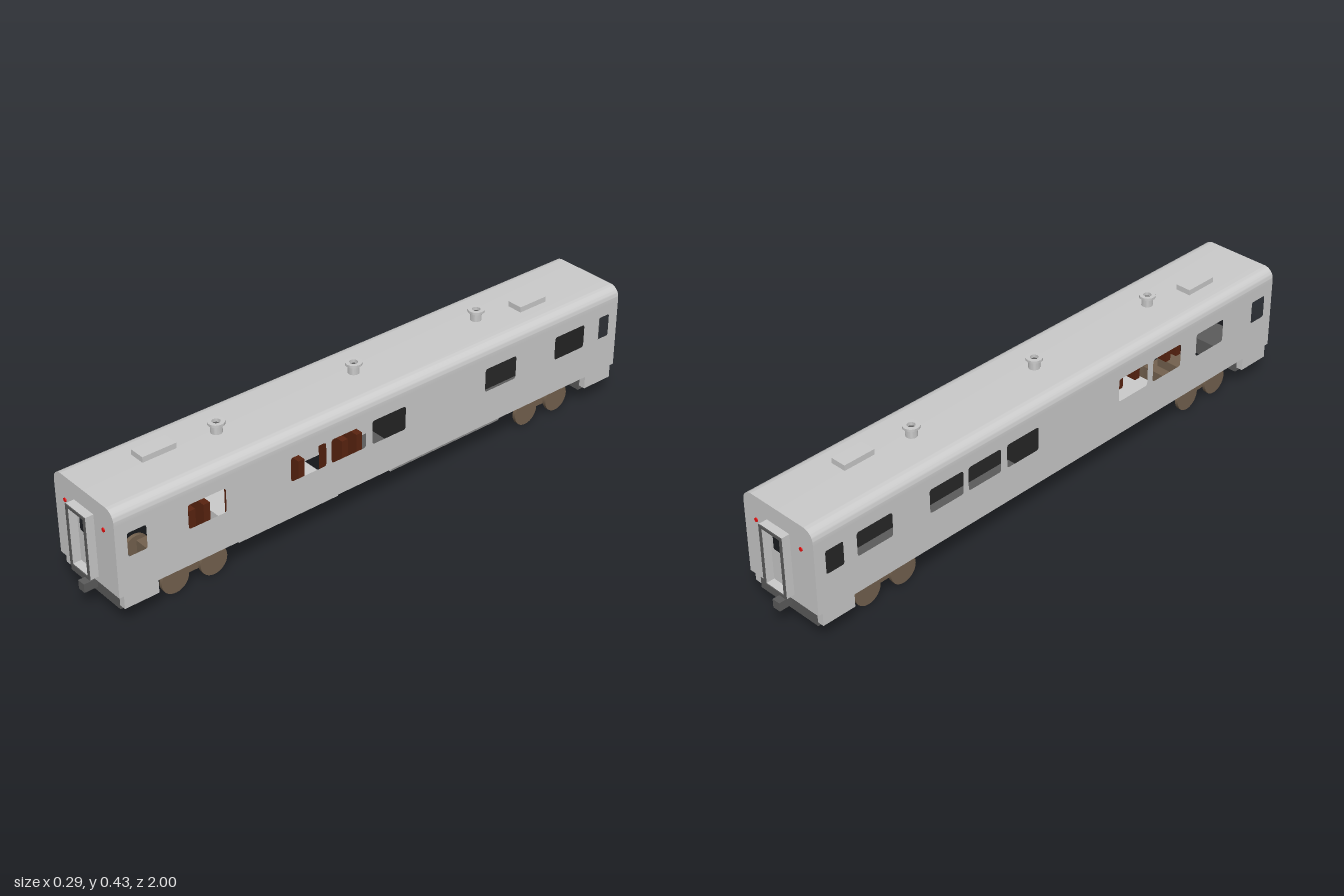
import * as THREE from 'three';
import { toCreasedNormals } from 'three/addons/utils/BufferGeometryUtils.js';

const mat = (color, side = THREE.FrontSide) => new THREE.MeshStandardMaterial({ color, side });
const GREY = mat(0xcccccc), DARK = mat(0x5c5c5c), BLACK = mat(0x282828);
const BROWN = mat(0x74624f), WOOD = mat(0x5a2410), RED = mat(0xee1111);

const HALF = 0.144, END = 0.97, FLOOR = 0.11, EAVE = 0.345, ROOF = 0.392;

export function createModel() {
  const model = new THREE.Group();

  const add = (name, geo, material, x = 0, y = 0, z = 0, parent = model) => {
    const mesh = new THREE.Mesh(geo, material);
    mesh.name = name;
    mesh.position.set(x, y, z);
    parent.add(mesh);
    return mesh;
  };
  // Box given by its limits on each axis
  const box = (name, material, x0, x1, y0, y1, z0, z1, parent = model) =>
    add(name, new THREE.BoxGeometry(x1 - x0, y1 - y0, z1 - z0), material,
      (x0 + x1) / 2, (y0 + y1) / 2, (z0 + z1) / 2, parent);
  // Rectangle path with optional rounded corners
  const rect = (x0, x1, y0, y1, r = 0, Type = THREE.Shape) => {
    const p = new Type();
    if (!r) {
      p.moveTo(x0, y0).lineTo(x1, y0).lineTo(x1, y1).lineTo(x0, y1).closePath();
      return p;
    }
    p.moveTo(x0 + r, y0).lineTo(x1 - r, y0).quadraticCurveTo(x1, y0, x1, y0 + r)
      .lineTo(x1, y1 - r).quadraticCurveTo(x1, y1, x1 - r, y1)
      .lineTo(x0 + r, y1).quadraticCurveTo(x0, y1, x0, y1 - r)
      .lineTo(x0, y0 + r).quadraticCurveTo(x0, y0, x0 + r, y0);
    return p;
  };
  const hole = (shape, x0, x1, y0, y1, r = 0) => shape.holes.push(rect(x0, x1, y0, y1, r, THREE.Path));

  // Side walls, with windows and thin door leaves
  const windows = {
    1: [0.665, 0.305, 0.155, 0, -0.455, -0.755],
    '-1': [0.66, 0.455, 0.3, -0.18, -0.335, -0.485, -0.755],
  };
  for (const s of [1, -1]) {
    const wall = rect(-END, END, FLOOR, EAVE);
    for (const z of windows[s]) hole(wall, -s * z - 0.065, -s * z + 0.065, 0.23, 0.31, 0.01);
    for (const u of [-0.9, 0.9]) {
      hole(wall, u - 0.032, u + 0.032, 0.232, 0.31, 0.008);
      const leaf = rect(u - 0.044, u + 0.044, 0.14, 0.325);
      hole(leaf, u - 0.032, u + 0.032, 0.232, 0.31, 0.008);
      add('sideDoor', new THREE.ShapeGeometry(leaf), GREY, s * (HALF + 0.001)).rotation.y = s * Math.PI / 2;
    }
    add('sideWall', new THREE.ShapeGeometry(wall), GREY, s * HALF).rotation.y = s * Math.PI / 2;
  }

  // Roof with rounded eaves
  const r = 0.036;
  const roof = new THREE.Shape();
  roof.moveTo(-HALF, EAVE).lineTo(HALF, EAVE).lineTo(HALF, ROOF - r)
    .absarc(HALF - r, ROOF - r, r, 0, Math.PI / 2, false)
    .absarc(-HALF + r, ROOF - r, r, Math.PI / 2, Math.PI, false);
  const roofGeo = new THREE.ExtrudeGeometry(roof, { depth: 2 * END, bevelEnabled: false, curveSegments: 10 });
  add('roof', toCreasedNormals(roofGeo, 0.6), GREY, 0, 0, -END);
  const base = add('underside', new THREE.PlaneGeometry(2 * HALF, 2 * END), GREY, 0, FLOOR, 0);
  base.rotation.x = Math.PI / 2;

  // Both ends: wall, gangway, lamps, buffer beam, coupler, steps and bogie
  const wheelGeo = new THREE.CylinderGeometry(0.047, 0.047, 0.012, 28).rotateZ(Math.PI / 2);
  const lampGeo = new THREE.CylinderGeometry(0.0065, 0.0065, 0.006, 16).rotateX(Math.PI / 2);
  for (const turn of [0, Math.PI]) {
    const end = new THREE.Group();
    end.name = turn ? 'rearEnd' : 'frontEnd';
    end.rotation.y = turn;
    model.add(end);

    const wall = rect(-HALF, HALF, FLOOR, EAVE);
    hole(wall, -0.038, 0.038, 0.139, 0.328);
    add('endWall', new THREE.ShapeGeometry(wall), GREY, 0, 0, END, end);
    const door = rect(-0.038, 0.038, 0.139, 0.328);
    hole(door, -0.028, 0.028, 0.247, 0.317, 0.004);
    add('endDoor', new THREE.ShapeGeometry(door), GREY, 0, 0, END, end);

    const frame = rect(-0.047, 0.047, 0.13, 0.337);
    hole(frame, -0.038, 0.038, 0.139, 0.328);
    add('gangway', new THREE.ExtrudeGeometry(frame, { depth: 0.027, bevelEnabled: false }), GREY, 0, 0, END, end);
    add('gangwayRim', new THREE.ExtrudeGeometry(frame, { depth: 0.003, bevelEnabled: false }), DARK, 0, 0, END + 0.027, end);

    box('bufferBeam', DARK, -0.121, 0.121, 0.053, FLOOR, 0.835, 0.955, end);
    box('coupler', DARK, -0.014, 0.014, 0.069, 0.098, 0.95, 1, end);

    const bogie = new THREE.Group();
    bogie.name = 'bogie';
    end.add(bogie);
    box('bogieFrame', BROWN, -0.088, 0.088, 0.037, 0.078, 0.62, 0.755, bogie);
    box('bolster', BROWN, -0.06, 0.06, 0.078, FLOOR, 0.655, 0.72, bogie);
    for (const s of [1, -1]) {
      add('lamp', lampGeo, RED, s * 0.093, 0.312, END, end);
      const x = s * 0.1325;
      box('step', GREY, x - 0.0115, x + 0.0115, 0.067, FLOOR, 0.84, 0.955, end);
      for (const z of [0.62, 0.755]) add('wheel', wheelGeo, BROWN, s * 0.094, 0.047, z, bogie);
    }
  }

  // Equipment boxes under the floor, the second with sloping sides
  const tank = (z0, z1, y, top, bottom) => {
    const p = new THREE.Shape();
    p.moveTo(-bottom, y).lineTo(bottom, y).lineTo(top, FLOOR).lineTo(-top, FLOOR).closePath();
    add('underfloorBox', new THREE.ExtrudeGeometry(p, { depth: z1 - z0, bevelEnabled: false }), GREY, 0, 0, z0);
  };
  tank(0.16, 0.53, 0.067, 0.1, 0.1);
  tank(-0.5, -0.05, 0.06, 0.12, 0.095);

  // Roof vents and hatches
  const ventProfile = [[0.018, 0], [0.018, 0.028], [0.026, 0.028], [0.026, 0.036], [0.013, 0.036], [0.013, 0.024]]
    .map(([x, y]) => new THREE.Vector2(x, y));
  const ventGeo = toCreasedNormals(new THREE.LatheGeometry(ventProfile, 24), 0.6);
  const ventHole = new THREE.CircleGeometry(0.013, 24).rotateX(-Math.PI / 2);
  for (const z of [0.52, 0.015, -0.48]) {
    add('roofVent', ventGeo, GREY, 0, ROOF, z);
    add('ventOpening', ventHole, DARK, 0, ROOF + 0.025, z);
  }
  box('roofHatch', GREY, -0.058, -0.004, 0.39, 0.41, 0.655, 0.77);
  box('roofHatch', GREY, 0.005, 0.059, 0.39, 0.41, -0.725, -0.615);

  // Interior: ceiling, floor, partitions and seat backs
  box('ceiling', BLACK, -0.138, 0.138, 0.318, 0.324, -0.85, 0.85);
  box('floor', DARK, -0.138, 0.138, 0.113, 0.12, -0.85, 0.08);
  box('corridorWall', BLACK, -0.005, 0.005, 0.12, 0.318, -0.84, -0.1);
  box('corridorWall', GREY, -0.055, -0.045, 0.12, 0.318, -0.09, 0.23);
  for (const z of [-0.1, -0.84]) box('bulkhead', BLACK, -0.138, 0.138, 0.12, 0.318, z - 0.004, z + 0.004);
  for (const z of [0.7, 0.65, 0.5, 0.42, 0.313, 0.15, 0.095])
    box('seatBack', WOOD, 0.012, 0.12, 0.12, 0.268, z - 0.011, z + 0.011);

  return model;
}
